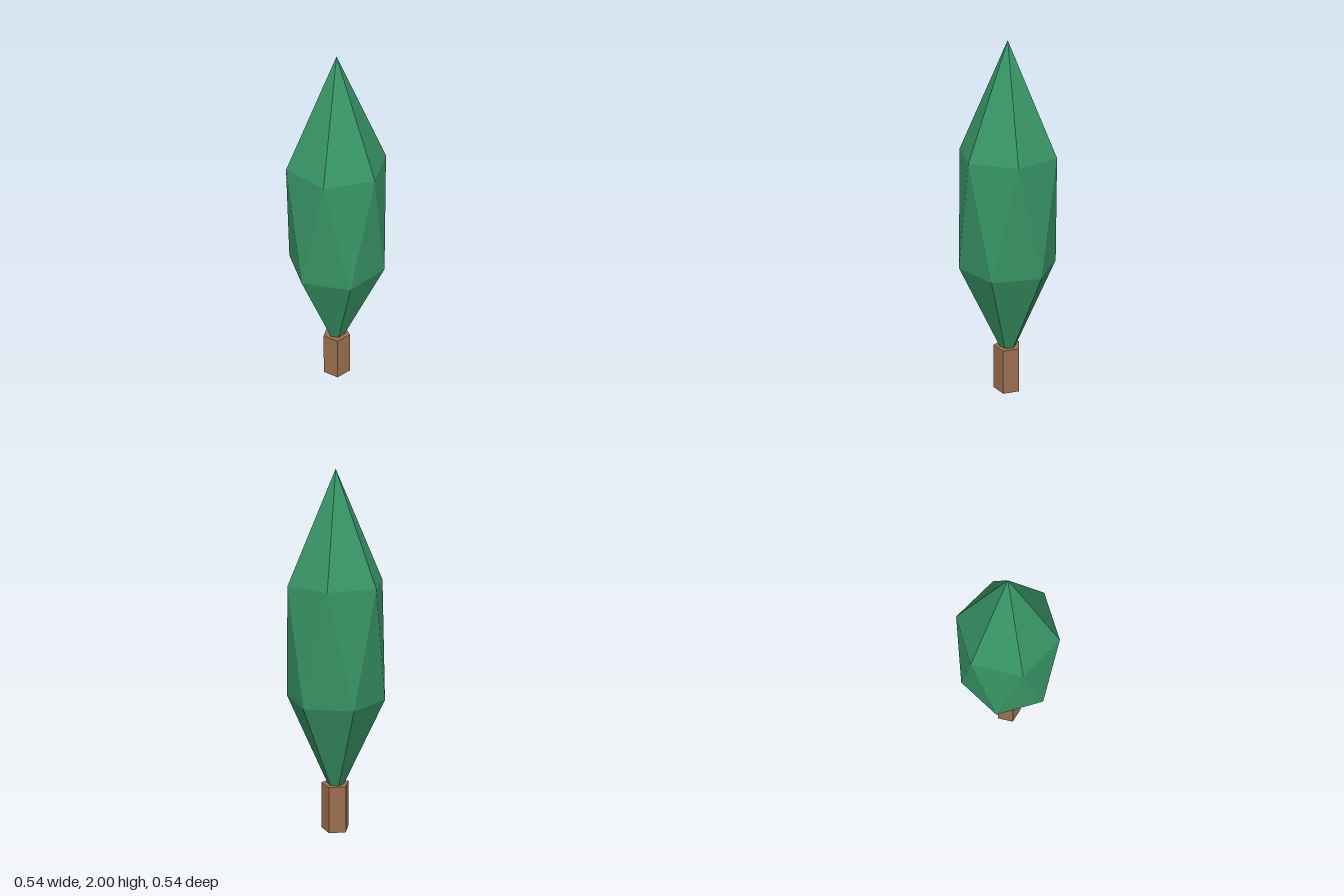
import * as THREE from 'three';

const SIDES = 6;

// A ring of evenly spaced points, turned by a fraction of one side
function ring(radius, y, turn) {
  return Array.from({ length: SIDES }, (_, i) => {
    const a = ((i + turn) / SIDES) * Math.PI * 2;
    return new THREE.Vector3(Math.sin(a) * radius, y, Math.cos(a) * radius);
  });
}

// Faceted crown: two staggered rings closed by a point at each end
function crownGeometry() {
  const tip = new THREE.Vector3(0, 2, 0);
  const base = new THREE.Vector3(0, 0.165, 0);
  const upper = ring(0.27, 1.4, 0);
  const lower = ring(0.27, 0.765, 0.5);
  const points = [];
  for (let i = 0; i < SIDES; i++) {
    const n = (i + 1) % SIDES;
    points.push(tip, upper[i], upper[n]);
    points.push(upper[i], lower[i], upper[n]);
    points.push(lower[i], lower[n], upper[n]);
    points.push(lower[i], base, lower[n]);
  }
  const geometry = new THREE.BufferGeometry().setFromPoints(points);
  geometry.computeVertexNormals();
  return geometry;
}

function part(name, geometry, color) {
  const mesh = new THREE.Mesh(geometry, new THREE.MeshStandardMaterial({ color, flatShading: true }));
  mesh.name = name;
  return mesh;
}

export function createModel() {
  const tree = new THREE.Group();
  tree.name = 'tree';

  // Five-sided trunk with one corner towards +x
  const trunk = part('trunk', new THREE.CylinderGeometry(0.08, 0.08, 0.27, 5, 1, false, Math.PI / 2), 0x9b6f4d);
  trunk.position.y = 0.135;

  tree.add(trunk, part('crown', crownGeometry(), 0x389566));
  return tree;
}
